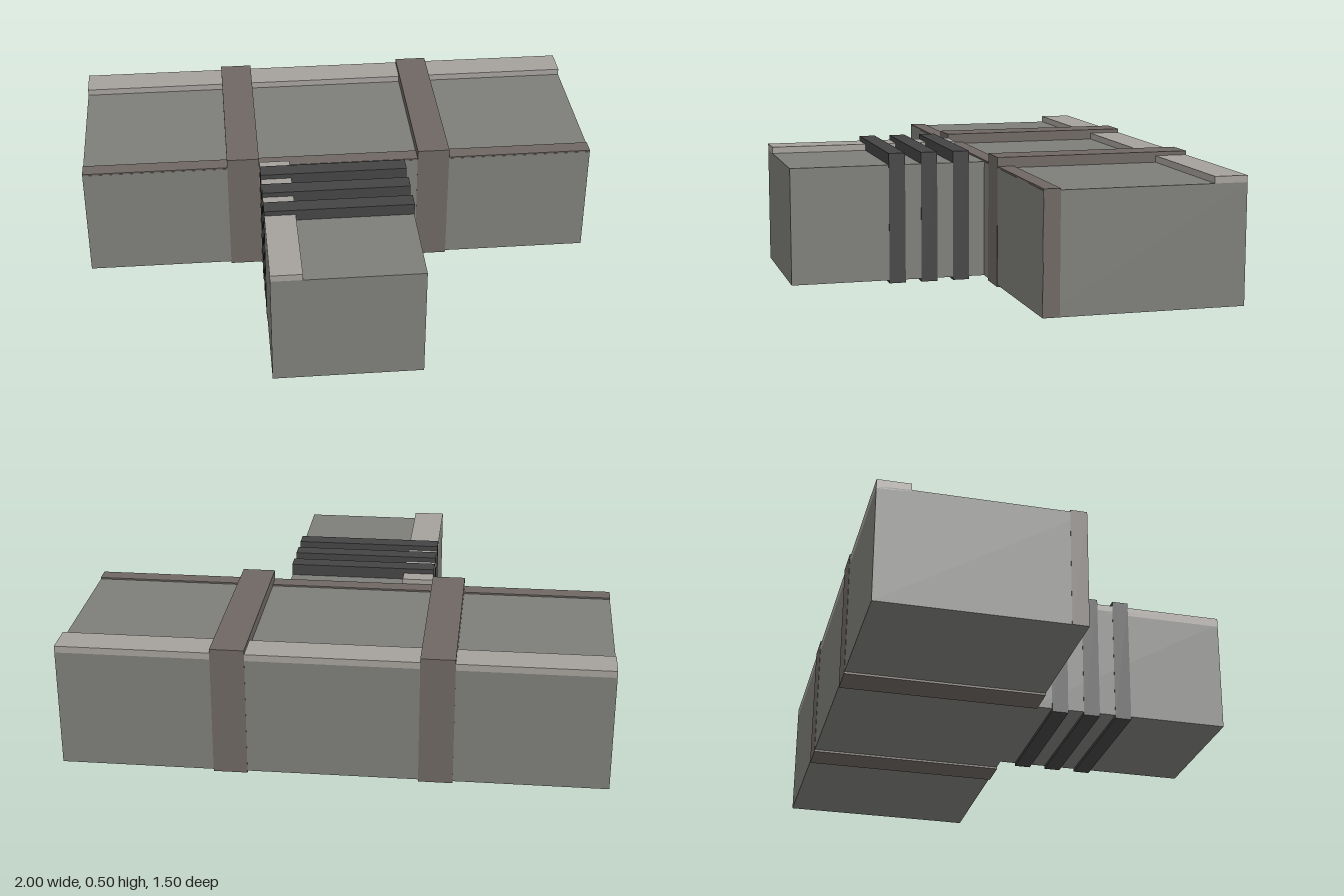
import * as THREE from 'three';

const material = (color) => new THREE.MeshStandardMaterial({ color, flatShading: true });

export function createModel() {
  const model = new THREE.Group();
  const grey = material(0x7d7d79);
  const brown = material(0x6e6763);
  const pale = material(0xa5a19d);
  const dark = material(0x444444);

  // Box given by its extent along each axis
  const box = (name, mat, [x0, x1], [y0, y1], [z0, z1]) => {
    const mesh = new THREE.Mesh(new THREE.BoxGeometry(x1 - x0, y1 - y0, z1 - z0), mat);
    mesh.position.set((x0 + x1) / 2, (y0 + y1) / 2, (z0 + z1) / 2);
    mesh.name = name;
    model.add(mesh);
  };

  const bottom = 0.012, top = 0.456, stripTop = 0.481;
  const e = 0.001; // keeps wrapped parts just proud of the body

  // Wide rear block with its raised back strip and thin front plate
  box('mainBody', grey, [-1, 1], [bottom, top], [-0.75, 0]);
  box('backStrip', pale, [-1, 1], [top - 0.01, stripTop], [-0.75, -0.627]);
  box('frontPlate', brown, [-1 - e, 1 + e], [bottom, 0.462], [-0.062, -e]);

  // Two bands wrapped around the rear block
  for (const x of [-0.376, 0.374]) {
    box('bodyBand', brown, [x - 0.0625, x + 0.0625], [0.004, 0.496], [-0.75 - e, e]);
  }

  // Forward arm, offset to the right, with a strip along its right edge
  const armX = [-0.3125, 0.25];
  box('arm', grey, armX, [bottom, top], [-0.02, 0.75]);
  box('armStrip', pale, [armX[0], -0.195], [top - 0.01, stripTop], [0, 0.75]);

  // Three dark ribs wrapped around the arm
  for (let i = 0; i < 3; i++) {
    const z = 0.0925 + i * 0.125;
    box('armRib', dark, [armX[0] - e, armX[1] + e], [0, 0.5], [z - 0.0315, z + 0.0315]);
  }
  return model;
}
